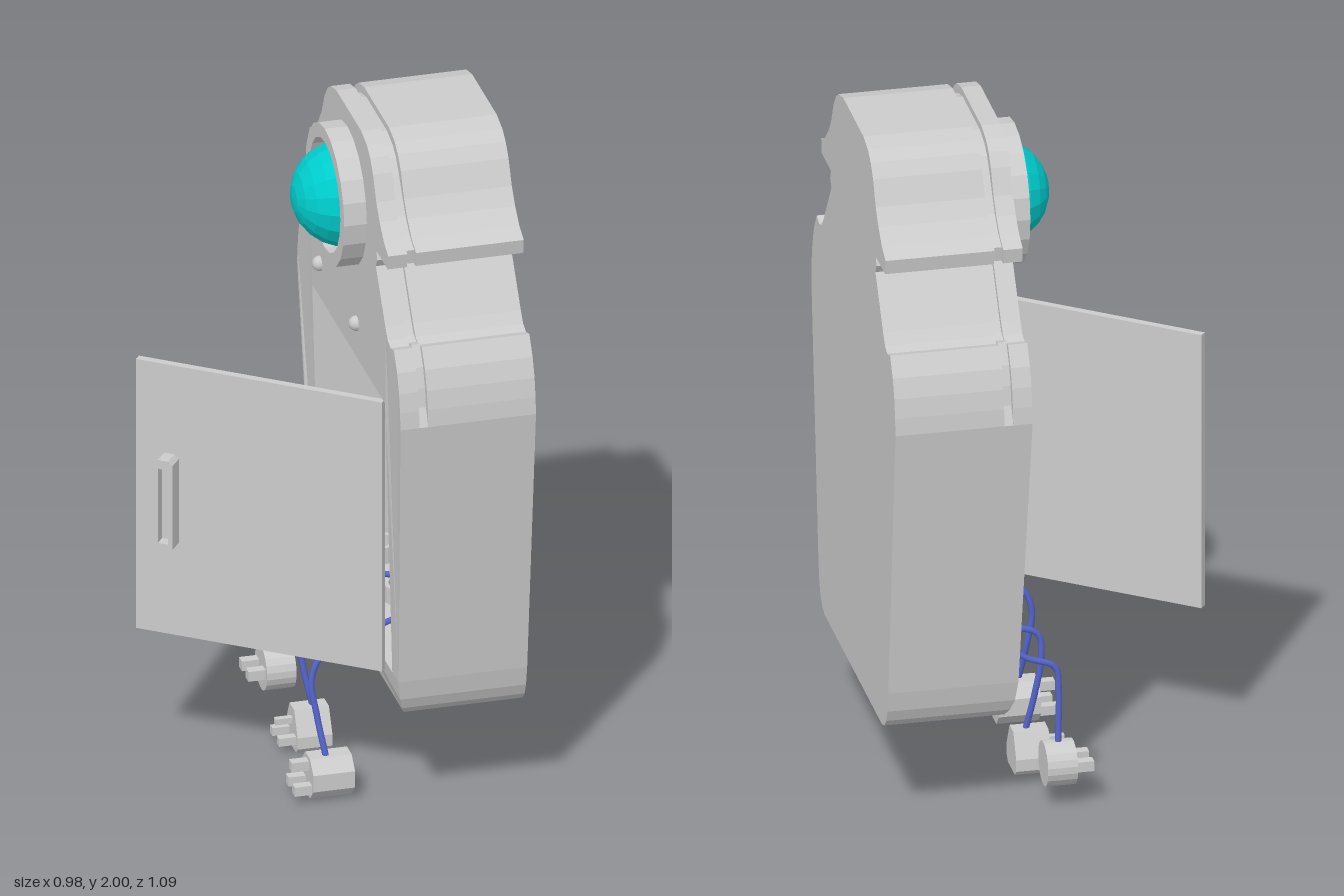
import * as THREE from 'three';

const grey = new THREE.MeshStandardMaterial({ color: 0xcccccc, side: THREE.DoubleSide });
const flat = new THREE.MeshStandardMaterial({ color: 0xcccccc, flatShading: true, side: THREE.DoubleSide });
const cyan = new THREE.MeshStandardMaterial({ color: 0x00cccc, flatShading: true });
const blue = new THREE.MeshStandardMaterial({ color: 0x5566cc });

// Half outline of the cabinet as [z, y], from the bottom up
const outline = [
  [0.37, 0.31], [0.4, 0.32], [0.425, 0.345], [0.44, 0.38], [0.452, 0.44], [0.545, 1.27],
  [0.54, 1.32], [0.53, 1.375], [0.51, 1.43], [0.475, 1.485], [0.44, 1.475], [0.41, 1.485],
  [0.385, 1.515], [0.285, 1.655], [0.3, 1.68], [0.29, 1.705], [0.41, 1.705], [0.416, 1.748],
  [0.37, 1.77], [0.325, 1.81], [0.29, 1.855], [0.255, 1.925], [0.225, 1.962], [0.19, 1.985], [0.13, 2],
];

function add(parent, name, geometry, material, x = 0, y = 0, z = 0) {
  const mesh = new THREE.Mesh(geometry, material);
  mesh.name = name;
  mesh.position.set(x, y, z);
  parent.add(mesh);
  return mesh;
}

function rectPath(w, y0, y1) {
  return new THREE.Path([[-w, y0], [w, y0], [w, y1], [-w, y1]].map(p => new THREE.Vector2(...p)));
}

// Slice of the cabinet between two x positions
function slab(x0, x1, hollow, inset = 0) {
  const half = outline.map(([z, y]) => y > 1.28 ? [z - inset, y > 1.9 ? y - inset : y] : [z, y]);
  const points = [...half, ...half.map(([z, y]) => [-z, y]).reverse()];
  const shape = new THREE.Shape(points.map(p => new THREE.Vector2(...p)));
  if (hollow) shape.holes.push(rectPath(0.385, 0.44, 1.275));
  const g = new THREE.ExtrudeGeometry(shape, { depth: x1 - x0, bevelEnabled: false });
  return g.rotateY(Math.PI / 2).translate(x0, 0, 0);
}

// Lean the lower front face back and round its bottom edge
function leanFront(g, x0) {
  const p = g.attributes.position;
  for (let i = 0; i < p.count; i++) {
    const y = p.getY(i);
    if (p.getX(i) > x0 + 0.001 || y > 1.27) continue;
    const lean = 0.02 * Math.min(1, (1.27 - y) / 0.83);
    const round = 0.034 * Math.pow(Math.max(0, (0.44 - y) / 0.13), 2);
    p.setX(i, x0 + lean + round);
  }
  g.computeVertexNormals();
  return g;
}

// Round cup with a recessed top
function cup(r, h, inner = 0.75) {
  const pts = [[r, 0], [r, h], [r * inner, h], [r * inner, h * 0.3], [0, h * 0.3]];
  return new THREE.LatheGeometry(pts.map(p => new THREE.Vector2(...p)), 20);
}

function xCylinder(r, length, sides) {
  return new THREE.CylinderGeometry(r, r, length, sides, 1, false, Math.PI / sides).rotateZ(Math.PI / 2);
}

function buildCabinet(root) {
  const cabinet = new THREE.Group();
  cabinet.name = 'cabinet';
  add(cabinet, 'frontFrame', leanFront(slab(0.1, 0.155, true), 0.1), grey);
  add(cabinet, 'grooveFrame', slab(0.155, 0.18, true, 0.02), grey);
  add(cabinet, 'cabinetShell', slab(0.18, 0.4, true), grey);
  add(cabinet, 'backPanel', slab(0.4, 0.49, false), grey);

  // Sockets on the inner back wall
  for (const z of [-0.22, 0, 0.22])
    add(cabinet, 'wallSocket', cup(0.08, 0.06), flat, 0.4, 0.93, z).rotation.z = Math.PI / 2;
  // Indicator bulbs under the lamp
  for (const z of [-0.3, 0.085])
    add(cabinet, 'indicatorBulb', new THREE.SphereGeometry(0.022, 12, 8), grey, 0.098, 1.382, z);
  root.add(cabinet);
}

function buildLamp(root) {
  const lamp = new THREE.Group();
  lamp.name = 'lamp';
  lamp.position.set(0.1, 1.74, -0.015);
  lamp.rotation.z = Math.PI / 2;
  add(lamp, 'lampRing', cup(0.205, 0.065, 0.8), flat);
  add(lamp, 'lampDome', new THREE.SphereGeometry(0.15, 16, 6, 0, Math.PI * 2, 0, Math.PI / 2), cyan, 0, 0.01, 0);
  root.add(lamp);
}

function buildDoor(root) {
  const door = new THREE.Group();
  door.name = 'door';
  door.position.set(0.1, 0.8575, 0.365);
  door.rotation.y = Math.PI - 0.645;
  add(door, 'doorPanel', new THREE.BoxGeometry(0.735, 0.835, 0.022), grey, 0.3675, 0, 0);

  // Recessed pull handle: chamfered frame around a thin inner plate
  const frame = new THREE.Shape([[-0.028, -0.13], [-0.015, -0.142], [0.015, -0.142], [0.028, -0.13],
    [0.028, 0.13], [0.015, 0.142], [-0.015, 0.142], [-0.028, 0.13]].map(p => new THREE.Vector2(...p)));
  frame.holes.push(rectPath(0.015, -0.115, 0.115));
  add(door, 'handleFrame', new THREE.ExtrudeGeometry(frame, { depth: 0.05, bevelEnabled: false }), grey, 0.635, 0, -0.06);
  add(door, 'handlePlate', new THREE.BoxGeometry(0.032, 0.235, 0.015), grey, 0.635, 0, -0.02);
  root.add(door);
}

// Plug body with its prongs pointing to -x
function buildPlug(root, geometry, x, y, z, front, prongs) {
  const plug = new THREE.Group();
  plug.name = 'plug';
  plug.position.set(x, y, z);
  add(plug, 'plugBody', geometry, flat);
  for (const [py, pz, size] of prongs)
    add(plug, 'prong', new THREE.BoxGeometry(0.055, size, size), grey, front - 0.022, py, pz);
  root.add(plug);
}

function buildPlugs(root) {
  buildPlug(root, xCylinder(0.066, 0.12, 8), -0.02, 0.07, 0.225, -0.06,
    [[-0.025, -0.033, 0.028], [-0.025, 0.033, 0.028], [0.035, 0, 0.028]]);

  const wedge = new THREE.Shape([[-0.045, -0.057], [0.045, -0.057], [0.062, -0.04], [0.062, -0.005],
    [0.025, 0.065], [-0.025, 0.065], [-0.062, -0.005], [-0.062, -0.04]].map(p => new THREE.Vector2(...p)));
  const wedgeGeo = new THREE.ExtrudeGeometry(wedge, { depth: 0.1, bevelEnabled: false })
    .translate(0, 0, -0.05).rotateY(Math.PI / 2);
  buildPlug(root, wedgeGeo, 0.01, 0.062, -0.088, -0.05,
    [[-0.02, -0.035, 0.024], [-0.02, 0.035, 0.024], [0.025, 0, 0.018]]);

  buildPlug(root, xCylinder(0.065, 0.085, 20), -0.018, 0.13, -0.338, -0.0425,
    [[0, -0.034, 0.03], [0, 0.034, 0.03]]);
}

// Floor outlets, each with a cable running over the sill to a plug
function buildCables(root) {
  const cables = [
    { z: 0.22, mid: 0.195, end: [-0.03, 0.125, 0.235], bulge: -0.06 },
    { z: -0.05, mid: -0.11, end: [0.02, 0.12, -0.087], bulge: -0.02 },
    { z: -0.32, mid: -0.335, end: [-0.018, 0.19, -0.338], bulge: -0.02 },
  ];
  for (const { z, mid, end, bulge } of cables) {
    add(root, 'floorOutlet', cup(0.055, 0.05), flat, 0.27, 0.44, z);
    const path = new THREE.CatmullRomCurve3([
      [0.27, 0.45, z], [0.25, 0.51, z], [0.17, 0.515, z * 0.7 + mid * 0.3], [0.07, 0.455, mid],
      [bulge * 0.5, 0.42, mid], [bulge, 0.35, mid], [bulge * 0.6 + end[0] * 0.4, 0.24, mid * 0.7 + end[2] * 0.3], end,
    ].map(p => new THREE.Vector3(...p)));
    add(root, 'cable', new THREE.TubeGeometry(path, 36, 0.009, 8), blue);
  }
}

export function createModel() {
  const root = new THREE.Group();
  root.name = 'outletCabinet';
  buildCabinet(root);
  buildLamp(root);
  buildDoor(root);
  buildPlugs(root);
  buildCables(root);
  return root;
}
